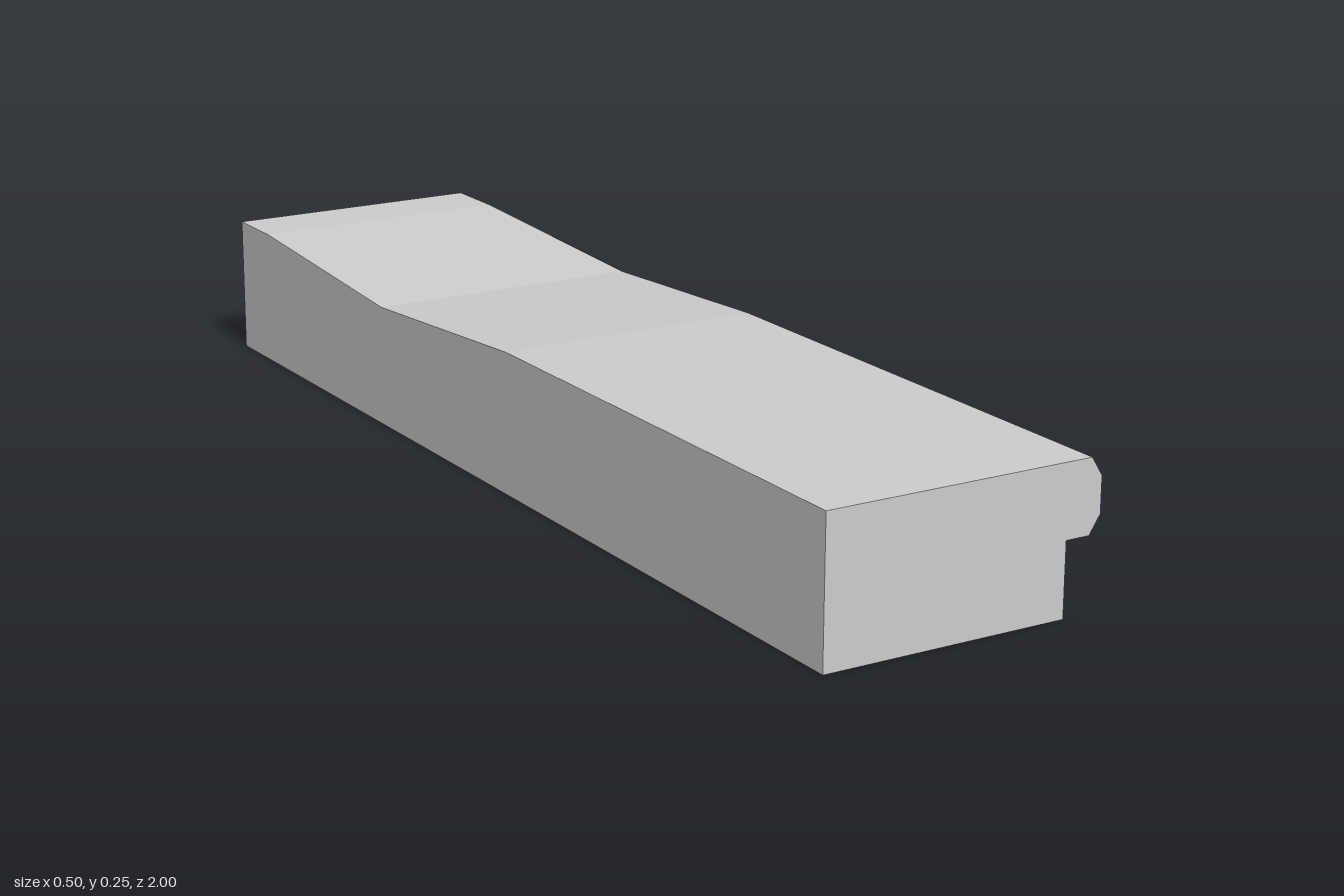
import * as THREE from 'three';

// Cross-section, counter-clockwise from the front; the top is cut at the given height
function section(top) {
  const topX = 0.25 - (top - 0.218) * (0.02 / 0.032);
  return [
    [-0.25, 0], [0.187, 0], [0.187, 0.126], [0.23, 0.126],
    [0.25, 0.157], [0.25, 0.218], [topX, top], [-0.25, top],
  ];
}

export function createModel() {
  // Stations from front to back: [z, top height]
  const stations = [[1, 0.25], [0.06, 0.25], [-0.4, 0.219], [-0.88, 0.25], [-1, 0.25]];
  const rings = stations.map(([z, top]) => section(top).map(([x, y]) => [x, y, z]));
  const positions = [];
  const tri = (a, b, c) => positions.push(...a, ...b, ...c);

  // Long faces between neighbouring sections
  for (let s = 0; s < rings.length - 1; s++) {
    const a = rings[s], b = rings[s + 1];
    for (let i = 0; i < a.length; i++) {
      const j = (i + 1) % a.length;
      tri(a[i], b[i], b[j]);
      tri(a[i], b[j], a[j]);
    }
  }

  // Flat end faces
  const front = rings[0], back = rings[rings.length - 1];
  const outline = front.map(([x, y]) => new THREE.Vector2(x, y));
  for (const [i, j, k] of THREE.ShapeUtils.triangulateShape(outline, [])) {
    tri(front[i], front[j], front[k]);
    tri(back[k], back[j], back[i]);
  }

  const geometry = new THREE.BufferGeometry();
  geometry.setAttribute('position', new THREE.Float32BufferAttribute(positions, 3));
  geometry.computeVertexNormals();

  // Step block with an overhanging, chamfered nosing and a worn hollow in its top
  const step = new THREE.Mesh(
    geometry,
    new THREE.MeshStandardMaterial({ color: 0xcccccc, flatShading: true })
  );
  step.name = 'wornStep';

  const group = new THREE.Group();
  group.name = 'stoneStep';
  group.add(step);
  return group;
}
